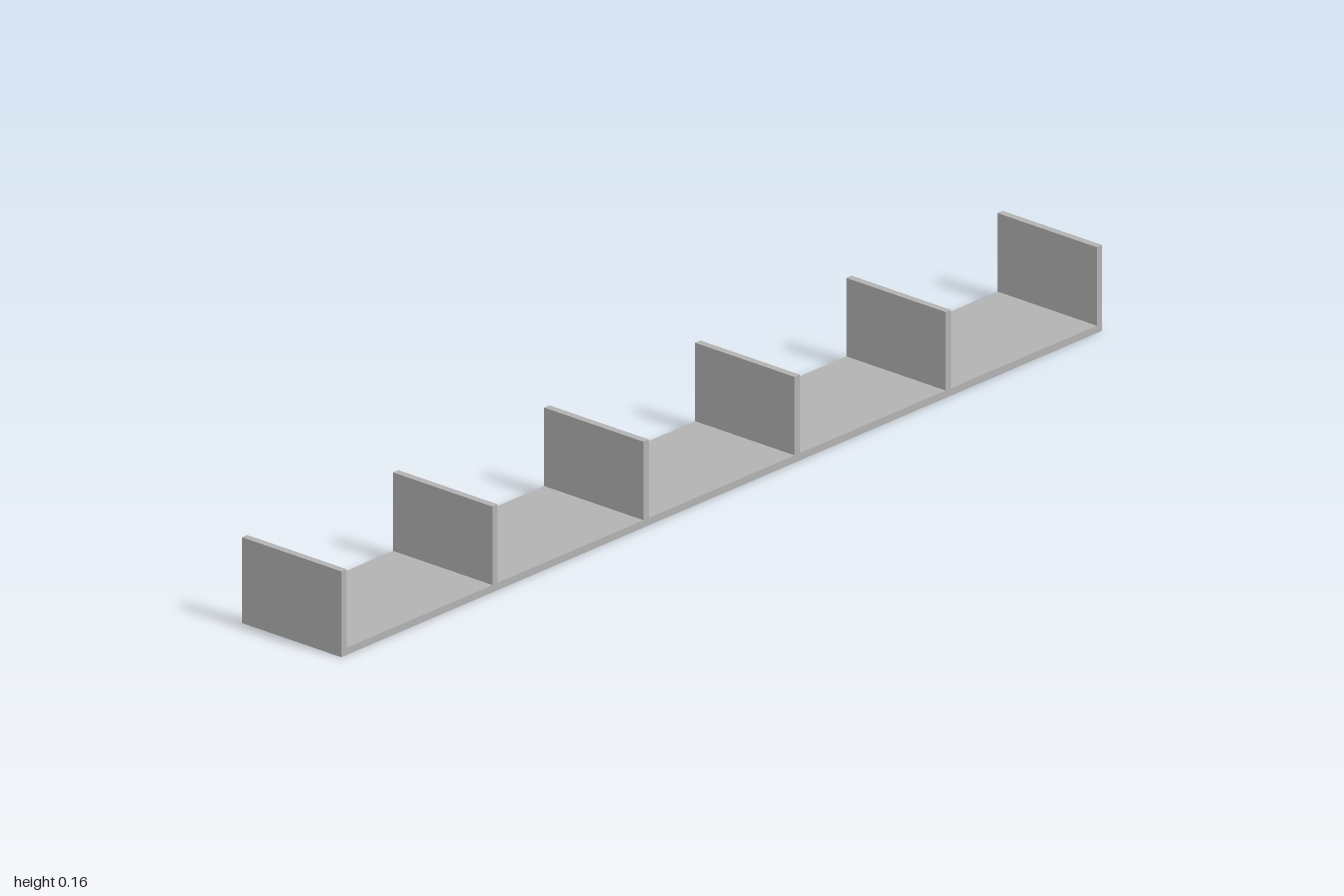
import * as THREE from 'three';

const LENGTH = 2, HEIGHT = 0.163, DEPTH = 0.234, THICK = 0.014, PANELS = 6;

export function createModel() {
  const model = new THREE.Group();
  model.name = 'dividedShelf';
  const grey = new THREE.MeshStandardMaterial({ color: 0xb2b2b2 });
  grey.name = 'grey';

  const addBoard = (name, w, h, x, y) => {
    const board = new THREE.Mesh(new THREE.BoxGeometry(w, h, DEPTH), grey);
    board.name = name;
    board.position.set(x, y, 0);
    model.add(board);
  };

  // Long base board
  addBoard('baseBoard', LENGTH, THICK, 0, THICK / 2);

  // Evenly spaced upright panels, the outer two flush with the ends
  const wall = HEIGHT - THICK;
  const span = LENGTH - THICK;
  for (let i = 0; i < PANELS; i++) {
    const isEnd = i === 0 || i === PANELS - 1;
    const x = -span / 2 + (span * i) / (PANELS - 1);
    addBoard(isEnd ? 'endPanel' : 'divider', THICK, wall, x, THICK + wall / 2);
  }
  return model;
}
